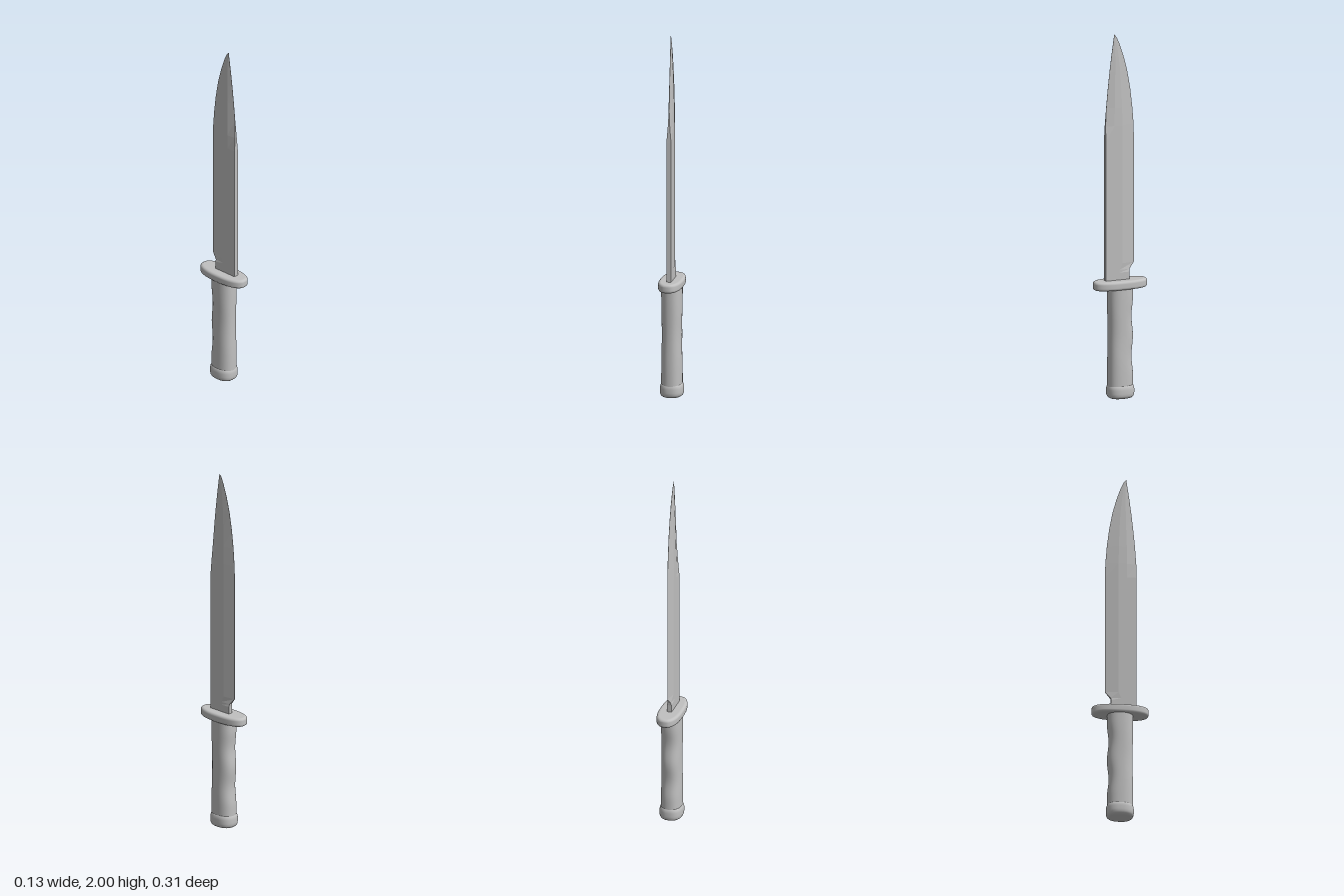
import * as THREE from 'three';

// Skin a stack of equal-length rings of [x, y, z], closed by end caps
function loft(rings, flat) {
  const n = rings[0].length, index = [];
  for (let i = 0; i < rings.length - 1; i++) {
    for (let j = 0; j < n; j++) {
      const a = i * n + j, b = i * n + (j + 1) % n;
      index.push(a, a + n, b, b, a + n, b + n);
    }
  }
  const top = (rings.length - 1) * n;
  for (let j = 1; j < n - 1; j++) {
    index.push(0, j, j + 1, top, top + j + 1, top + j);
  }
  let geo = new THREE.BufferGeometry();
  geo.setAttribute('position', new THREE.Float32BufferAttribute(rings.flat(2), 3));
  geo.setIndex(index);
  if (flat) geo = geo.toNonIndexed();
  geo.computeVertexNormals();
  return geo;
}

// Rounded oval ring: half width, front z, back z, squareness exponent
function oval(y, hx, zf, zb, power = 2, n = 40) {
  const ring = [], c = (zf + zb) / 2, hz = (zf - zb) / 2;
  const soft = (v) => Math.sign(v) * Math.abs(v) ** (2 / power);
  for (let j = 0; j < n; j++) {
    const a = (j / n) * Math.PI * 2;
    ring.push([hx * soft(Math.cos(a)), y, c + hz * soft(Math.sin(a))]);
  }
  return ring;
}

// Oval slab with rounded rims; the inset is the rim radius
function slab(y0, y1, hx, zf, zb, r, power) {
  const rings = [];
  const add = (y, d) => rings.push(oval(y, hx - d, zf - d, zb + d, power));
  add(y0, r * 1.25);
  for (let i = 0; i <= 4; i++) {
    const a = (i / 4) * Math.PI / 2;
    add(y0 + r * (1 - Math.sin(a)), r * (1 - Math.cos(a)));
  }
  const lower = rings.splice(1).reverse();
  rings.push(...lower.reverse().sort((p, q) => p[0][1] - q[0][1]));
  for (let i = 0; i <= 4; i++) {
    const a = (i / 4) * Math.PI / 2;
    add(y1 - r * (1 - Math.sin(a)), r * (1 - Math.cos(a)));
  }
  add(y1, r * 1.25);
  return loft(rings);
}

export function createModel() {
  const group = new THREE.Group();
  const steel = new THREE.MeshStandardMaterial({ color: 0xc0c0c0 });
  steel.name = 'grey steel';
  const add = (name, geo) => {
    const mesh = new THREE.Mesh(geo, steel);
    mesh.name = name;
    group.add(mesh);
  };

  // Blade stations: y, spine z, edge z, body half thickness, spine half, edge half
  const stations = [
    [0.63, 0.087, -0.05, 0.013, 0.013, 0.013],
    [0.69, 0.087, -0.05, 0.013, 0.013, 0.013],
    [0.705, 0.087, -0.052, 0.013, 0.013, 0.009],
    [0.74, 0.087, -0.082, 0.013, 0.013, 0.0006],
    [1.42, 0.087, -0.082, 0.013, 0.013, 0.0006],
    [1.5, 0.086, -0.08, 0.013, 0.006, 0.0006],
    [1.6, 0.08, -0.072, 0.0115, 0.001, 0.0006],
    [1.7, 0.071, -0.06, 0.009, 0.0006, 0.0006],
    [1.8, 0.06, -0.042, 0.0065, 0.0006, 0.0006],
    [1.88, 0.05, -0.021, 0.0045, 0.0006, 0.0006],
    [1.95, 0.04, 0.003, 0.0025, 0.0006, 0.0006],
    [1.985, 0.035, 0.019, 0.0012, 0.0005, 0.0005],
    [2.0, 0.033, 0.031, 0.0005, 0.0004, 0.0004],
  ];
  add('blade', loft(stations.map(([y, zs, ze, t, ts, te]) => {
    const f = ze + (zs - ze) * 0.42, s = y < 1.41 ? zs - 0.02 : ze + (zs - ze) * 0.7;
    return [[te, y, ze], [t, y, f], [t, y, s], [ts, y, zs],
      [-ts, y, zs], [-t, y, s], [-t, y, f], [-te, y, ze]];
  }), true));

  // Cross guard
  add('guard', slab(0.602, 0.65, 0.065, 0.153, -0.155, 0.014, 2.5));

  // Grip with finger grooves along the back and a slight waist
  const grip = [];
  for (let i = 0; i <= 40; i++) {
    const y = 0.05 + (i / 40) * 0.57;
    const u = THREE.MathUtils.clamp((y - 0.12) / 0.44, 0, 1);
    const groove = 0.0055 * (1 - Math.cos(u * Math.PI * 4)) / 2 * 1.6;
    const waist = 0.003 * Math.sin(u * Math.PI) ** 2;
    grip.push(oval(y, 0.056 - waist, 0.069 - waist, -0.071 + groove, 2.3));
  }
  add('grip', loft(grip));

  // Pommel, tapering into the grip
  const pommel = [
    [0, 0.034], [0, 0.02], [0.003, 0.012], [0.009, 0.005], [0.018, 0.001],
    [0.03, 0], [0.05, 0], [0.062, 0.002], [0.07, 0.006], [0.075, 0.01],
  ].map(([y, d]) => oval(y, 0.063 - d, 0.073 - d, -0.077 + d, 2.4));
  add('pommel', loft(pommel));

  return group;
}
